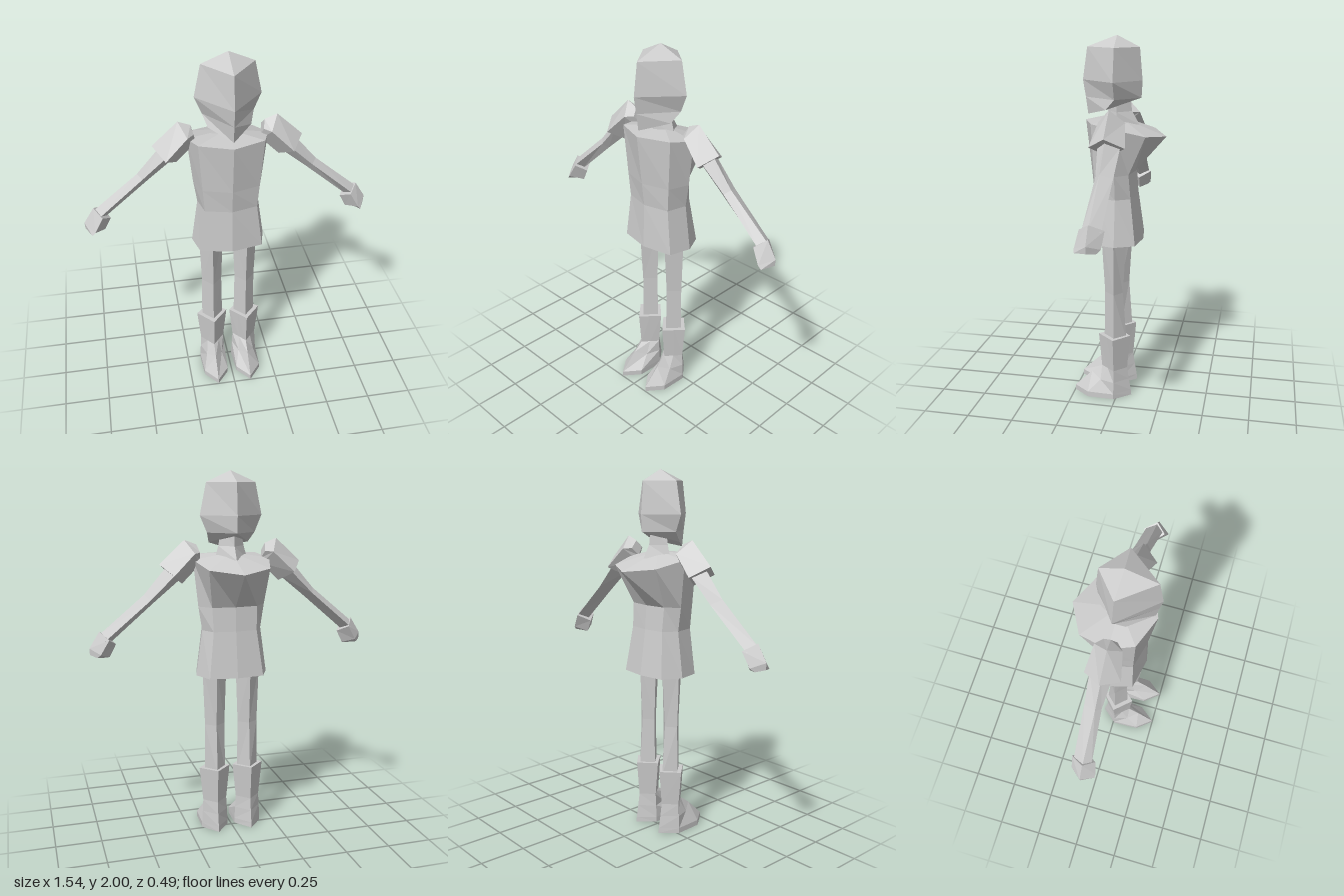
import * as THREE from 'three';

const material = new THREE.MeshStandardMaterial({ color: 0xcccccc, flatShading: true, side: THREE.DoubleSide });

const centre = ring => [0, 1, 2].map(k => ring.reduce((s, p) => s + p[k], 0) / ring.length);

// Closed faceted skin through rings of [x, y, z], capped to a point at each end
function loft(name, rings, start = centre(rings[0]), end = centre(rings[rings.length - 1])) {
  const n = rings[0].length;
  const tris = [];
  const last = rings[rings.length - 1];
  for (let j = 0; j < n; j++) {
    const k = (j + 1) % n;
    tris.push([start, rings[0][k], rings[0][j]], [end, last[j], last[k]]);
    for (let i = 0; i + 1 < rings.length; i++) {
      const a = rings[i], b = rings[i + 1];
      tris.push([a[j], a[k], b[k]], [a[j], b[k], b[j]]);
    }
  }
  // Turn the faces outward whichever way the rings run
  const v = p => new THREE.Vector3(...p);
  const volume = tris.reduce((s, [a, b, c]) => s + v(a).sub(v(start)).dot(v(b).sub(v(start)).cross(v(c).sub(v(start)))), 0);
  if (volume < 0) tris.forEach(t => t.reverse());
  const geometry = new THREE.BufferGeometry();
  geometry.setAttribute('position', new THREE.Float32BufferAttribute(tris.flat(2), 3));
  geometry.computeVertexNormals();
  const mesh = new THREE.Mesh(geometry, material);
  mesh.name = name;
  return mesh;
}

// Half outline from front to back, completed across x = 0
const symmetric = half => [...half, ...half.slice(1, -1).reverse().map(([x, y, z]) => [-x, y, z])];

// Four-cornered level ring: half width, height, front z, back z
const diamond = (w, y, front, back, side = 0.01) => symmetric([[0, y, front], [w, y, side], [0, y, back]]);

// Four-cornered ring across an arm: upper point, lower point, front z, back z
function armRing(ux, uy, lx, ly, front, back) {
  const mx = (ux + lx) / 2, my = (uy + ly) / 2;
  return [[ux, uy, 0.01], [mx, my, front], [lx, ly, 0.01], [mx, my, back]];
}

const place = (rings, side, dx = 0) => rings.map(r => r.map(([x, y, z]) => [side * (x + dx), y, z]));

export function createModel() {
  const model = new THREE.Group();
  model.name = 'figure';

  // Head, with the chin hanging below the back of the skull
  model.add(loft('head', [
    diamond(0.135, 1.94, 0.18, -0.1),
    diamond(0.17, 1.77, 0.205, -0.115),
    diamond(0.132, 1.68, 0.19, -0.11),
    symmetric([[0, 1.59, 0.178], [0.11, 1.625, 0.06], [0, 1.68, -0.108]]),
  ], [0, 2, 0.02]));

  model.add(loft('neck', [diamond(0.055, 1.7, 0.06, -0.05), diamond(0.07, 1.61, 0.07, -0.06), diamond(0.09, 1.54, 0.08, -0.1)]));

  // Tunic, flaring at the hem and into a pointed collar at the back
  model.add(loft('tunic', [
    [[0, 1.56, 0.19], [0.17, 1.56, 0.125], [0.212, 1.54, 0], [0.165, 1.5, -0.16], [0, 1.48, -0.245]],
    [[0, 1.29, 0.16], [0.15, 1.29, 0.115], [0.185, 1.29, 0], [0.125, 1.29, -0.065], [0, 1.29, -0.08]],
    [[0, 1.16, 0.145], [0.14, 1.16, 0.11], [0.165, 1.16, 0], [0.12, 1.16, -0.075], [0, 1.16, -0.09]],
    [[0, 0.91, 0.155], [0.17, 0.91, 0.12], [0.2, 0.91, 0], [0.15, 0.91, -0.105], [0, 0.91, -0.125]],
  ].map(symmetric), [0, 1.575, 0]));

  const legRings = [
    diamond(0.068, 0.95, 0.09, -0.05),
    diamond(0.056, 0.62, 0.07, -0.03),
    diamond(0.06, 0.34, 0.075, -0.05),
  ];

  // Boot outlines run from the toe along the side to the heel
  const bootRings = [
    [[0, 0.365, 0.107], [0.044, 0.365, 0.058], [0.088, 0.365, 0.01], [0, 0.365, -0.072]],
    [[0, 0.17, 0.09], [0.034, 0.17, 0.05], [0.068, 0.17, 0.01], [0, 0.17, -0.055]],
    [[0, 0.125, 0.15], [0.045, 0.1, 0.09], [0.072, 0.1, 0.01], [0, 0.1, -0.065]],
    [[0, 0.03, 0.248], [0.07, 0.03, 0.16], [0.076, 0.03, 0.01], [0, 0.03, -0.077]],
    [[0, 0, 0.248], [0.07, 0, 0.16], [0.076, 0, 0.01], [0, 0, -0.08]],
  ].map(symmetric);

  const shoulderRings = [
    armRing(0.19, 1.62, 0.17, 1.54, 0.04, -0.03),
    armRing(0.255, 1.645, 0.175, 1.51, 0.075, -0.065),
    armRing(0.39, 1.52, 0.27, 1.415, 0.1, -0.085),
  ];
  const armRings = [
    armRing(0.355, 1.505, 0.285, 1.435, 0.055, -0.06),
    armRing(0.475, 1.365, 0.425, 1.32, 0.037, -0.052),
    armRing(0.715, 1.165, 0.665, 1.115, 0.05, -0.045),
  ];
  const handRings = [
    armRing(0.715, 1.182, 0.63, 1.11, 0.065, -0.058),
    armRing(0.77, 1.095, 0.665, 1.042, 0.078, -0.05),
    armRing(0.768, 1.06, 0.7, 1.04, 0.075, -0.03),
  ];

  // Limbs, mirrored from the left to the right
  for (const [side, label] of [[1, 'left'], [-1, 'right']]) {
    const add = (part, rings, dx) => model.add(loft(label + part, place(rings, side, dx)));
    add('Leg', legRings, 0.095);
    add('Boot', bootRings, 0.097);
    add('ShoulderPad', shoulderRings);
    add('Arm', armRings);
    add('Hand', handRings);
  }
  return model;
}
